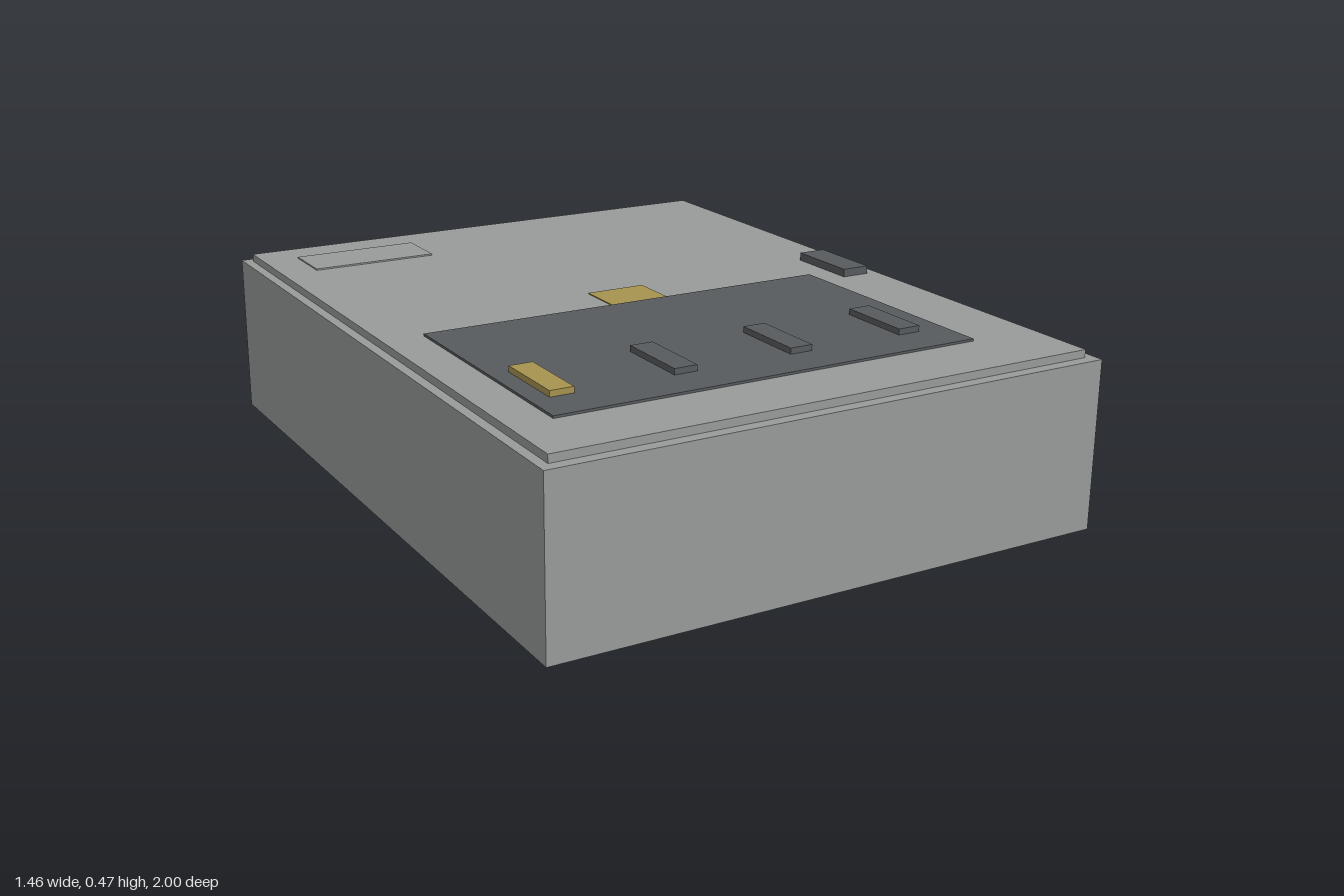
import * as THREE from 'three';

export function createModel() {
  const model = new THREE.Group();
  const material = (name, color) => {
    const m = new THREE.MeshStandardMaterial({ color });
    m.name = name;
    return m;
  };
  const grey = material('casing grey', 0x989b99);
  const dark = material('dark grey', 0x575b5e);
  const ochre = material('ochre', 0xa6934f);

  // Box given by its extents along each axis
  const box = (name, mat, [x0, x1], [y0, y1], [z0, z1]) => {
    const mesh = new THREE.Mesh(new THREE.BoxGeometry(x1 - x0, y1 - y0, z1 - z0), mat);
    mesh.position.set((x0 + x1) / 2, (y0 + y1) / 2, (z0 + z1) / 2);
    mesh.name = name;
    model.add(mesh);
  };

  // Casing and raised lid
  box('casing', grey, [-0.73, 0.73], [0, 0.428], [-0.87, 1]);
  box('lid', grey, [-0.705, 0.705], [0.428, 0.448], [-0.845, 0.97]);

  // Thin plates on the lid
  box('controlPanel', dark, [-0.6, 0.52], [0.448, 0.454], [0.115, 0.79]);
  box('indicatorPlate', ochre, [-0.08, 0.08], [0.448, 0.451], [-0.02, 0.115]);
  box('labelPlate', grey, [-0.61, -0.27], [0.448, 0.452], [-0.74, -0.59]);

  // Row of keys, the first one highlighted
  [-0.522, -0.21, 0.102, 0.414].forEach((x, i) =>
    box('key' + (i + 1), i === 0 ? ochre : dark, [x - 0.03, x + 0.03], [0.454, 0.469], [0.48, 0.68]));

  // Separate side switch
  box('sideSwitch', dark, [0.598, 0.674], [0.448, 0.469], [-0.04, 0.165]);

  // Round connectors on the back
  for (const x of [-0.365, 0.363]) {
    const connector = new THREE.Mesh(new THREE.CylinderGeometry(0.051, 0.051, 0.14, 24), dark);
    connector.rotation.x = Math.PI / 2;
    connector.position.set(x, 0.21, -0.93);
    connector.name = 'rearConnector';
    model.add(connector);
  }
  return model;
}
